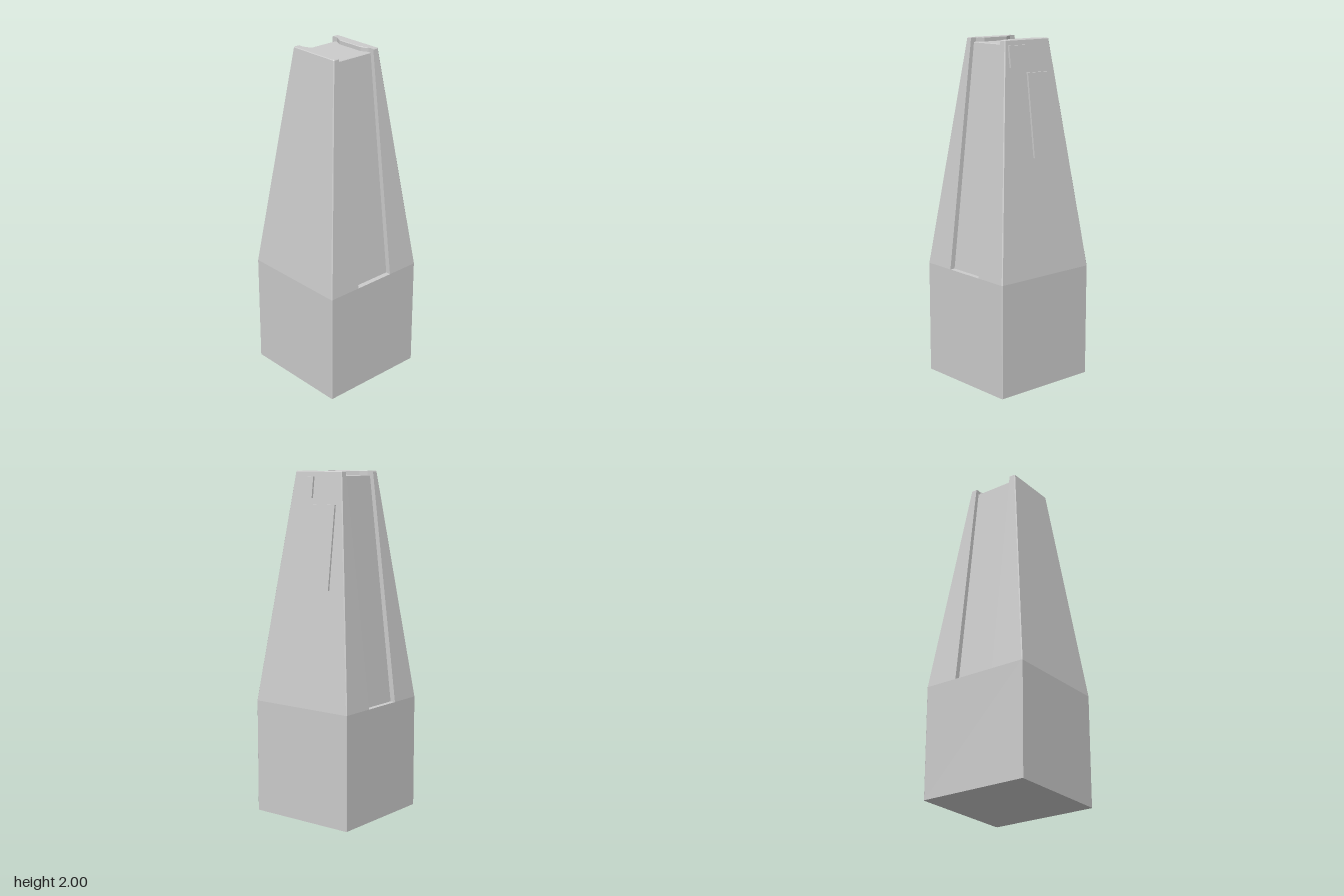
import * as THREE from 'three';

const SHOULDER = 0.667, TOP = 2, BASE_HALF = 0.333, TOP_HALF = 0.165;
const GROOVE_Z = 0.127, FLOOR_Y = 1.975, BEVEL = 0.005;

// Half-width of the tapering outer faces at height y
const halfAt = (y) => BASE_HALF + (TOP_HALF - BASE_HALF) * Math.max(0, (y - SHOULDER) / (TOP - SHOULDER));

// Closed, flat-sided solid through convex [x, z] rings at rising heights
function loft(levels) {
  const pos = [];
  const at = (l, i) => {
    const [x, z] = l.ring[i % l.ring.length];
    return [x, l.y, z];
  };
  const tri = (...pts) => pts.forEach((p) => pos.push(...p));
  const n = levels[0].ring.length;
  for (let k = 0; k < levels.length - 1; k++) {
    const lo = levels[k], hi = levels[k + 1];
    for (let i = 0; i < n; i++) {
      tri(at(lo, i), at(lo, i + 1), at(hi, i + 1));
      tri(at(lo, i), at(hi, i + 1), at(hi, i));
    }
  }
  const first = levels[0], last = levels[levels.length - 1];
  for (let i = 1; i < n - 1; i++) {
    tri(at(first, 0), at(first, i + 1), at(first, i));
    tri(at(last, 0), at(last, i), at(last, i + 1));
  }
  const geo = new THREE.BufferGeometry();
  geo.setAttribute('position', new THREE.Float32BufferAttribute(pos, 3));
  geo.computeVertexNormals();
  return geo;
}

const rect = (x0, x1, z0, z1) => [[x0, z1], [x1, z1], [x1, z0], [x0, z0]];

// Square with slightly chamfered corners
function chamferedSquare(h, c) {
  return [[-h + c, h], [h - c, h], [h, h - c], [h, -h + c],
    [h - c, -h], [-h + c, -h], [-h, -h + c], [-h, h - c]];
}

// Wall section: straight inner edge, chamfered outer corners
function wallRing(h, c) {
  return [[-h, GROOVE_Z], [-h, h - c], [-h + c, h], [h - c, h], [h, h - c], [h, GROOVE_Z]];
}

export function createModel() {
  const model = new THREE.Group();
  model.name = 'taperedTower';
  const grey = new THREE.MeshStandardMaterial({ color: 0xcccccc });
  grey.name = 'light grey';

  const add = (name, geometry, parent = model) => {
    const mesh = new THREE.Mesh(geometry, grey);
    mesh.name = name;
    parent.add(mesh);
    return mesh;
  };

  // Square base block
  const baseRing = chamferedSquare(BASE_HALF, BEVEL);
  add('base', loft([{ y: 0, ring: baseRing }, { y: SHOULDER, ring: baseRing }]));

  // Recessed core: groove floors on both sides and the sunken top
  add('core', loft([
    { y: SHOULDER, ring: rect(-0.302, 0.302, -GROOVE_Z, GROOVE_Z) },
    { y: FLOOR_Y - 0.003, ring: rect(-0.144, 0.144, -GROOVE_Z, GROOVE_Z) },
    { y: FLOOR_Y, ring: rect(-0.141, 0.141, -GROOVE_Z, GROOVE_Z) },
  ]));

  // Front and back tapering walls, each with an inward lip at the top
  const lipRing = [[0.128, GROOVE_Z], [0.085, 0.105], [-0.085, 0.105], [-0.128, GROOVE_Z]];
  const lipTop = [[0.126, GROOVE_Z], [0.084, 0.108], [-0.084, 0.108], [-0.126, GROOVE_Z]];
  for (const [side, turn] of [['front', 0], ['back', Math.PI]]) {
    const group = new THREE.Group();
    group.name = side + 'Wall';
    group.rotation.y = turn;
    add(side + 'Slab', loft([
      { y: SHOULDER, ring: wallRing(BASE_HALF, BEVEL) },
      { y: TOP - 0.004, ring: wallRing(halfAt(TOP - 0.004), BEVEL) },
      { y: TOP, ring: wallRing(TOP_HALF - 0.003, BEVEL) },
    ]), group);
    add(side + 'Lip', loft([
      { y: FLOOR_Y - 0.005, ring: lipRing },
      { y: TOP - 0.003, ring: lipRing },
      { y: TOP, ring: lipTop },
    ]), group);
    model.add(group);
  }

  // Thin raised plates lying on the back slope
  const plate = (name, x0, x1, y0, y1) => add(name, loft([y0, y1].map((y) => (
    { y, ring: rect(x0, x1, -halfAt(y) - 0.012, -halfAt(y) + 0.002) }
  ))));
  plate('largeBackPlate', -0.143, 0.025, 1.34, 1.815);
  plate('smallBackPlate', 0.025, 0.148, 1.85, 1.97);

  return model;
}
